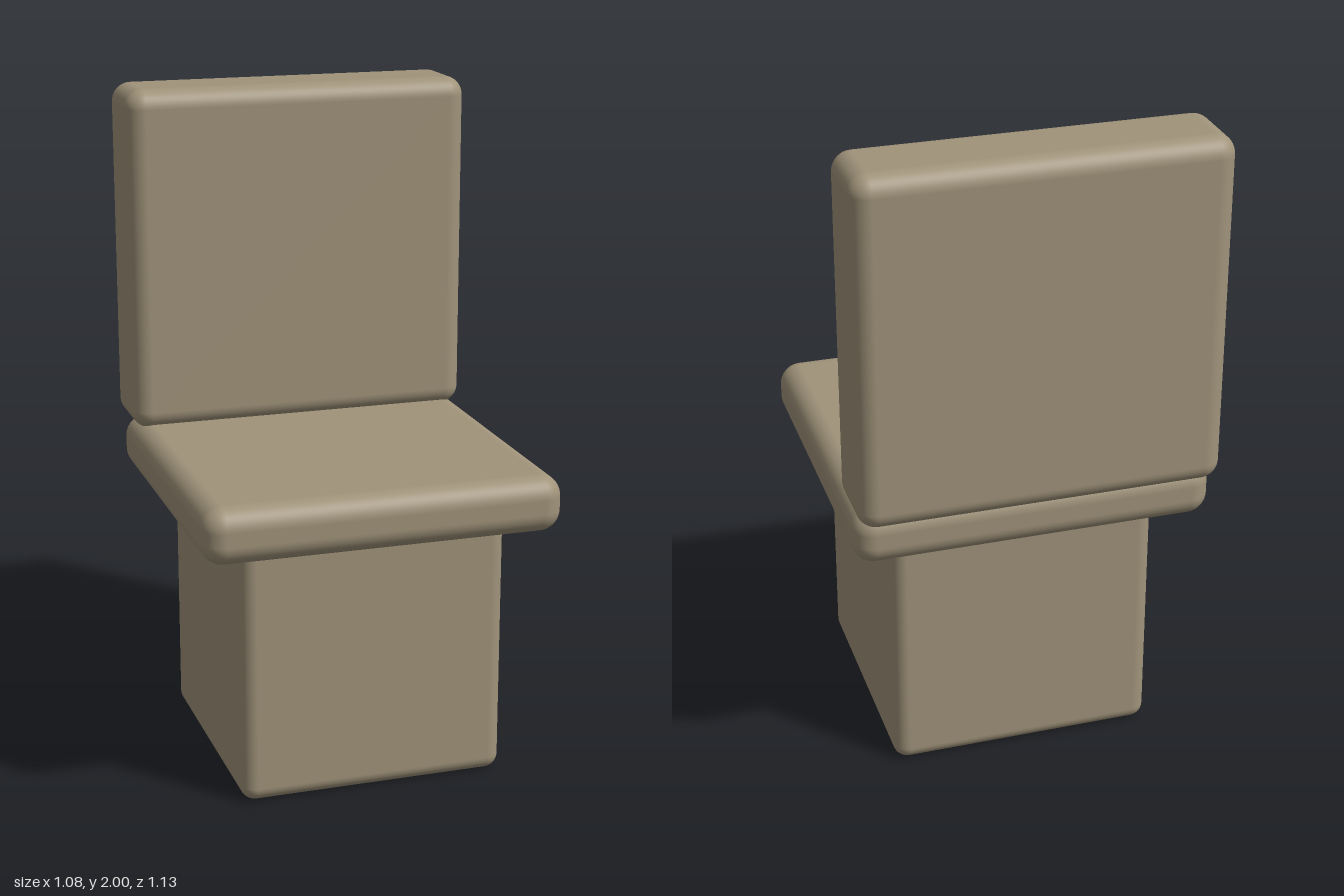
import * as THREE from 'three';
import { RoundedBoxGeometry } from 'three/addons/geometries/RoundedBoxGeometry.js';

export function createModel() {
  const group = new THREE.Group();
  group.name = 'chair';
  const taupe = new THREE.MeshStandardMaterial({ color: 0xa0937a });
  taupe.name = 'taupe';

  // Rounded block given by its half width and its y and z ranges
  function block(name, halfX, [y0, y1], [z0, z1], radius) {
    const geometry = new RoundedBoxGeometry(halfX * 2, y1 - y0, z1 - z0, 6, radius);
    const mesh = new THREE.Mesh(geometry, taupe);
    mesh.name = name;
    mesh.position.set(0, (y0 + y1) / 2, (z0 + z1) / 2);
    group.add(mesh);
  }

  // Pedestal, its top sunk into the seat
  block('pedestal', 0.405, [0, 0.86], [-0.372, 0.44], 0.045);
  // Seat cushion
  block('seat', 0.54, [0.787, 0.958], [-0.496, 0.565], 0.065);
  // Backrest, slightly sunk into the rear of the seat
  block('backrest', 0.54, [0.943, 2], [-0.565, -0.296], 0.058);

  return group;
}
